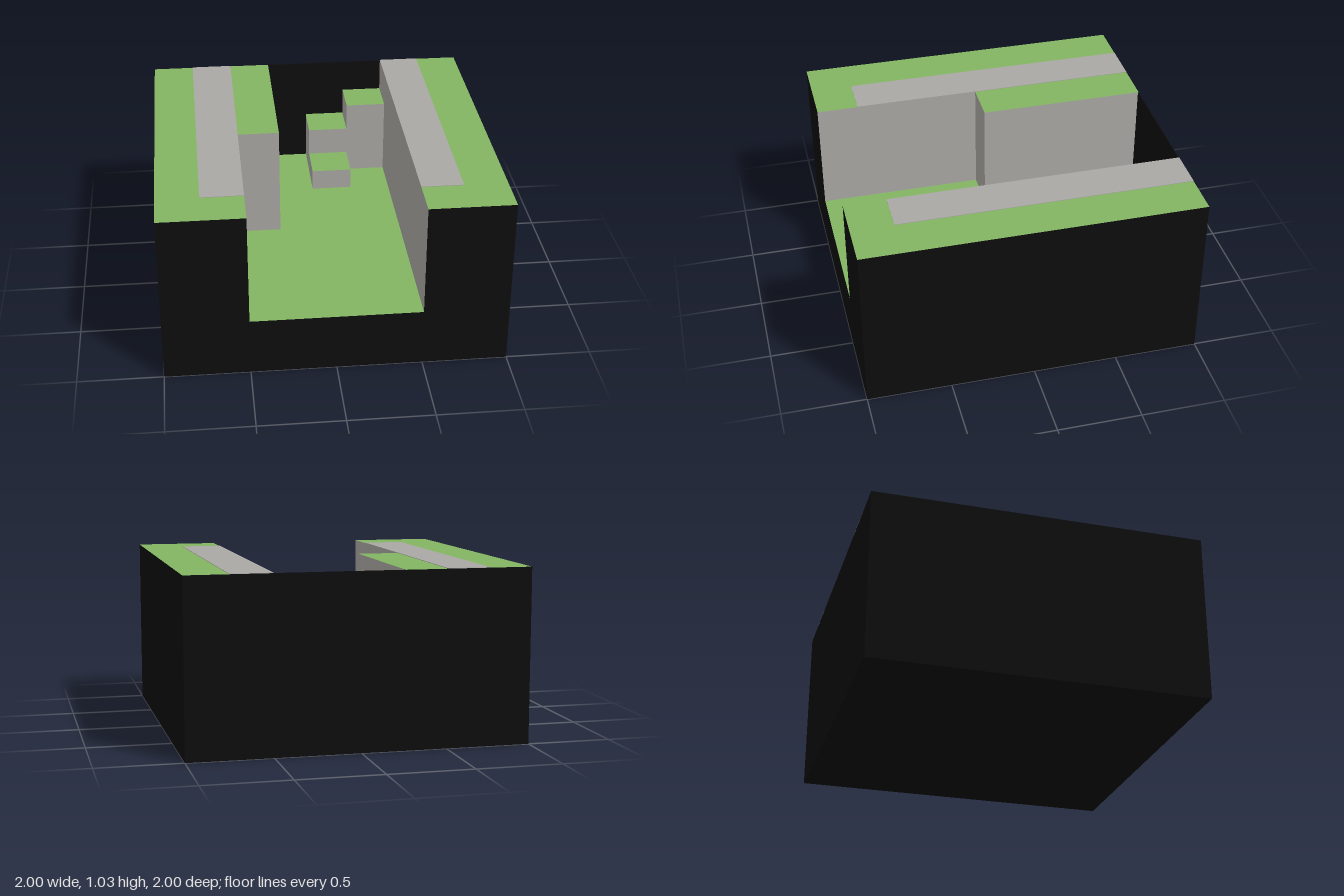
import * as THREE from 'three';

const grass = new THREE.MeshStandardMaterial({ color: 0x82b562 });
grass.name = 'grass green';
const stone = new THREE.MeshStandardMaterial({ color: 0xaaa8a4 });
stone.name = 'stone grey';
const shell = new THREE.MeshStandardMaterial({ color: 0x0d0d0d });
shell.name = 'shell black';

// Box given by its limits; sides are ordered +x, -x, +y, -y, +z, -z
function block(name, [x0, x1], [y0, y1], [z0, z1], materials) {
  const geometry = new THREE.BoxGeometry(x1 - x0, y1 - y0, z1 - z0);
  geometry.translate((x0 + x1) / 2, (y0 + y1) / 2, (z0 + z1) / 2);
  const mesh = new THREE.Mesh(geometry, materials);
  mesh.name = name;
  return mesh;
}

export function createModel() {
  const model = new THREE.Group();
  model.name = 'sunkenPassage';
  const floor = 0.35, top = 1.03;

  // Ground slab with a grassy passage floor
  model.add(block('base', [-1, 1], [0, floor], [-1, 1],
    [shell, shell, grass, shell, shell, shell]));

  // Raised banks on both sides, stone towards the passage
  model.add(block('rightBank', [-1, -0.5], [floor, top], [-1, 1],
    [stone, shell, grass, shell, shell, shell]));
  model.add(block('leftBank', [0.5, 1], [floor, top], [-1, 1],
    [shell, stone, grass, shell, shell, shell]));

  // Rear half of the right bank juts into the passage
  model.add(block('bankProjection', [-0.5, -0.25], [floor, top], [-1, 0],
    [stone, stone, grass, shell, stone, shell]));

  // Steps winding up to the left bank
  const steps = [
    [[0, 0.25], 0.48, [-0.75, -0.5]],
    [[0, 0.25], 0.655, [-1, -0.75]],
    [[0.25, 0.5], 0.826, [-1, -0.75]],
  ];
  steps.forEach(([x, height, z], i) => {
    model.add(block(`step${i + 1}`, x, [floor, height], z,
      [stone, stone, grass, shell, stone, shell]));
  });

  // Thin wall closing the back of the passage
  model.add(block('backWall', [-0.25, 0.5], [floor, top], [-1, -0.995], shell));

  // Stone paths along the tops of the banks
  for (const [name, x] of [['rightPath', [-0.75, -0.5]], ['leftPath', [0.5, 0.745]]]) {
    model.add(block(name, x, [top, top + 0.003], [-1, 0.75], stone));
  }

  return model;
}
